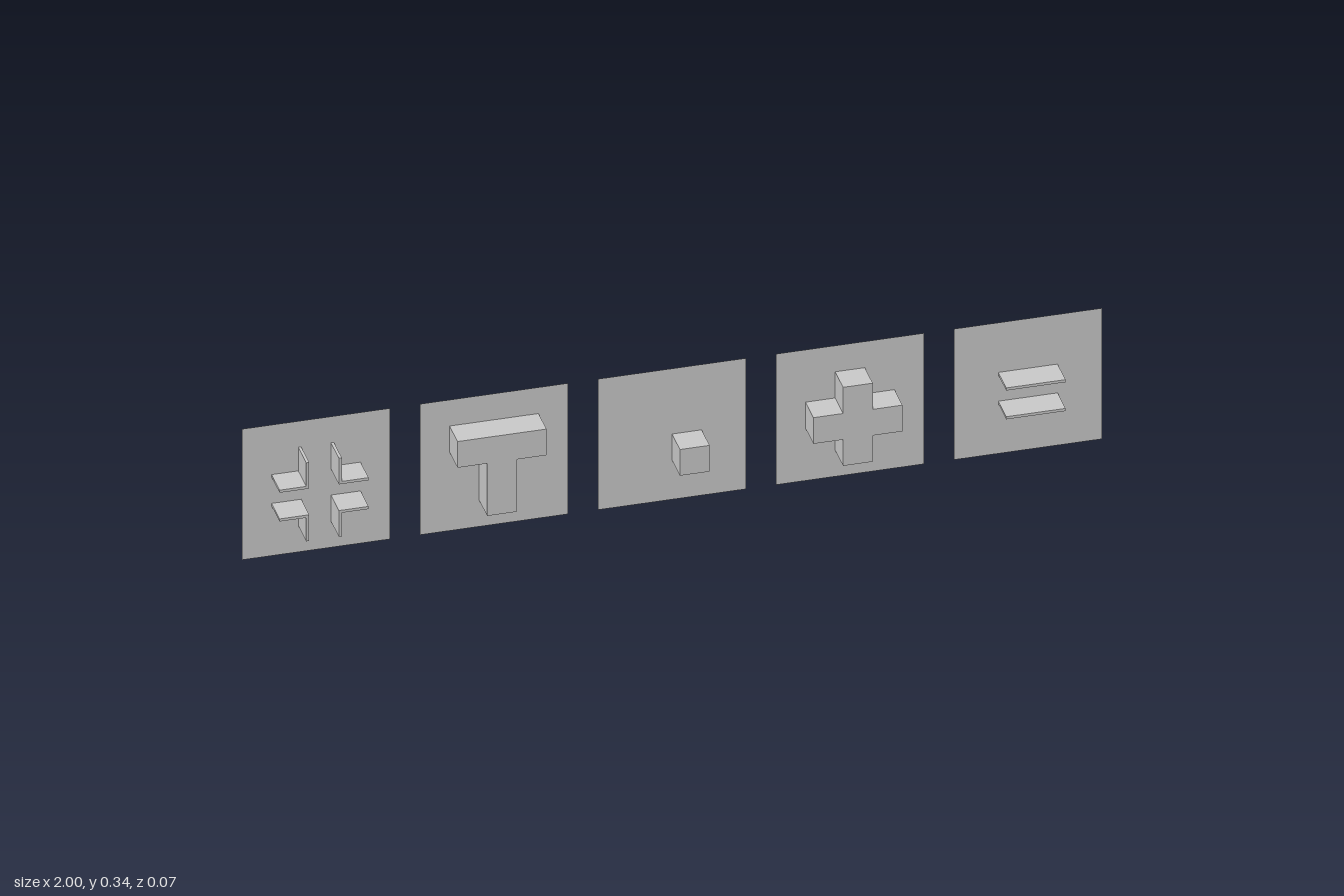
import * as THREE from 'three';

const U = 2 / 58;    // grid unit: panels are 10 units wide, 2 units apart
const WALL = 0.2;    // thin wall thickness in units

export function createModel() {
  const model = new THREE.Group();
  const mat = new THREE.MeshStandardMaterial({ color: 0xcccccc, flatShading: true });
  const panelMat = new THREE.MeshStandardMaterial({ color: 0xcccccc, side: THREE.DoubleSide });

  // A square, paper-thin backing panel; raised parts are added in units from its centre
  const addPanel = (index, name) => {
    const tile = new THREE.Group();
    tile.name = name;
    tile.position.set((index - 2) * 12 * U, 5 * U, 0);
    const panel = new THREE.Mesh(new THREE.PlaneGeometry(10 * U, 10 * U), panelMat);
    panel.name = 'backPanel';
    panel.position.z = -U;
    tile.add(panel);
    model.add(tile);
    return tile;
  };

  // A flat outline raised two units from the panel
  const addRaised = (tile, name, points) => {
    const shape = new THREE.Shape(points.map(([x, y]) => new THREE.Vector2(x * U, y * U)));
    const geo = new THREE.ExtrudeGeometry(shape, { depth: 2 * U, bevelEnabled: false });
    geo.translate(0, 0, -U);
    const mesh = new THREE.Mesh(geo, mat);
    mesh.name = name;
    tile.add(mesh);
  };

  const rect = (x0, y0, x1, y1) => [[x0, y0], [x1, y0], [x1, y1], [x0, y1]];

  // Four thin corner brackets around an open cross
  const corners = addPanel(0, 'cornerTile');
  const t = 1 + WALL;
  const bracket = [[1, 1], [3, 1], [3, t], [t, t], [t, 3], [1, 3]];
  for (const sx of [-1, 1]) {
    for (const sy of [-1, 1]) {
      addRaised(corners, 'cornerBracket', bracket.map(([x, y]) => [x * sx, y * sy]));
    }
  }

  // Tee block
  addRaised(addPanel(1, 'teeTile'), 'teeBlock',
    [[-1, -3], [1, -3], [1, 1], [3, 1], [3, 3], [-3, 3], [-3, 1], [-1, 1]]);

  // Single cube, off centre
  addRaised(addPanel(2, 'cubeTile'), 'cube', rect(0, -2, 2, 0));

  // Solid cross
  addRaised(addPanel(3, 'crossTile'), 'crossBlock',
    [[-1, -3], [1, -3], [1, -1], [3, -1], [3, 1], [1, 1],
      [1, 3], [-1, 3], [-1, 1], [-3, 1], [-3, -1], [-1, -1]]);

  // Two thin parallel shelves
  const shelves = addPanel(4, 'shelfTile');
  addRaised(shelves, 'upperShelf', rect(-2, 1, 2, t));
  addRaised(shelves, 'lowerShelf', rect(-2, -t, 2, -1));

  return model;
}
